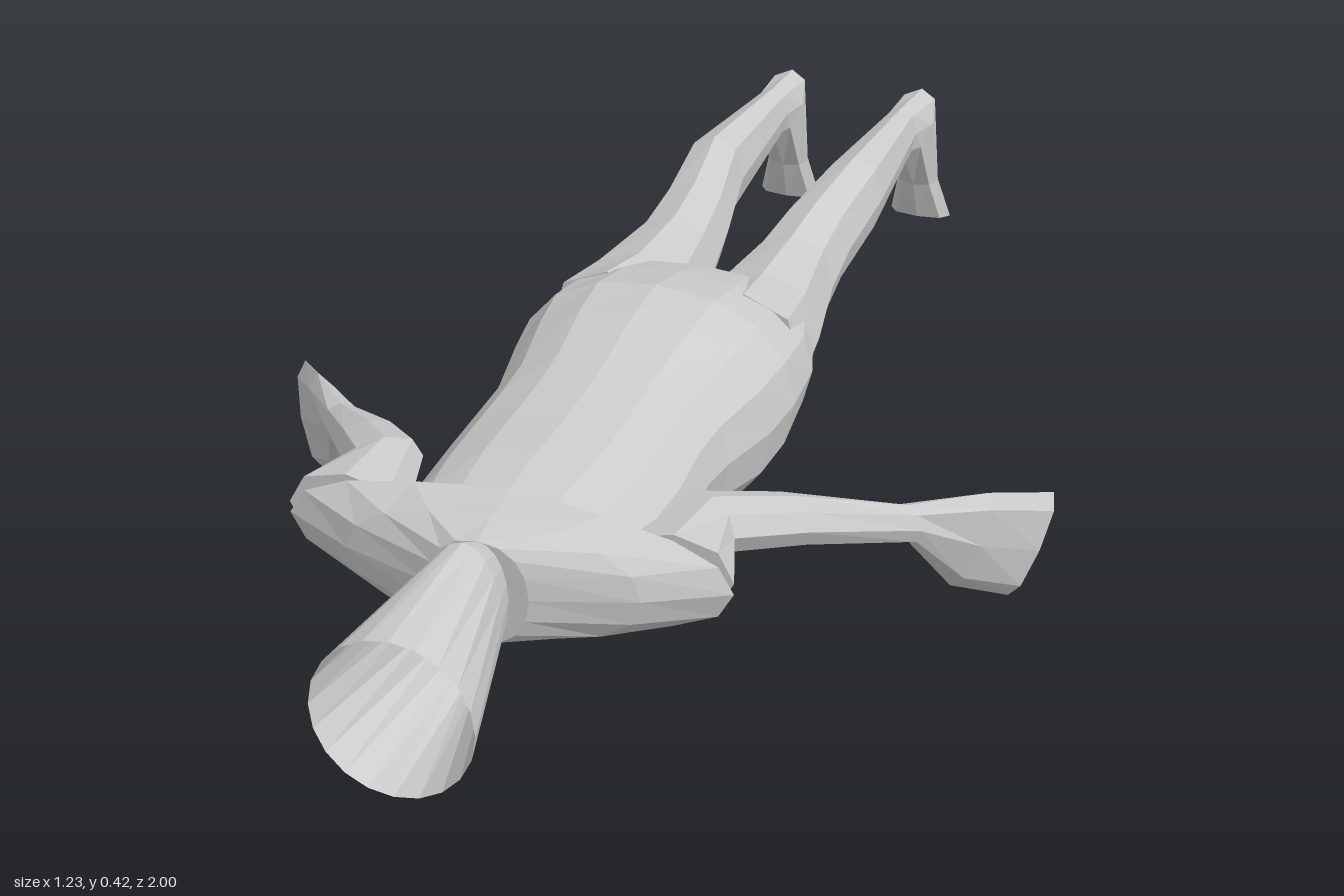
import * as THREE from 'three';

const material = new THREE.MeshStandardMaterial({ color: 0xcccccc, flatShading: true, side: THREE.DoubleSide });

// Skin between rings; each ring is { c: centre, u, v: half axes }
function loft(name, rings, sides, { power = 1, caps = true } = {}) {
  const pos = [], index = [];
  const shape = t => Math.sign(t) * Math.pow(Math.abs(t), power);
  for (const { c, u, v } of rings) {
    for (let j = 0; j < sides; j++) {
      const a = (j / sides) * Math.PI * 2;
      const p = shape(Math.cos(a)), q = shape(Math.sin(a));
      for (let k = 0; k < 3; k++) pos.push(c[k] + u[k] * p + v[k] * q);
    }
  }
  const last = (rings.length - 1) * sides, start = rings.length * sides;
  if (caps) pos.push(...rings[0].c, ...rings[rings.length - 1].c);
  for (let j = 0; j < sides; j++) {
    const n = (j + 1) % sides;
    for (let i = 0; i < last; i += sides) {
      index.push(i + j, i + sides + j, i + n, i + n, i + sides + j, i + sides + n);
    }
    if (caps) index.push(start, j, n, start + 1, last + n, last + j);
  }
  const geometry = new THREE.BufferGeometry();
  geometry.setAttribute('position', new THREE.Float32BufferAttribute(pos, 3));
  geometry.setIndex(index);
  geometry.computeVertexNormals();
  const mesh = new THREE.Mesh(geometry, material);
  mesh.name = name;
  return mesh;
}

// Upright ring facing along z
const ring = (z, x, rx, top, bottom) => ({
  c: [x, (top + bottom) / 2, z], u: [rx, 0, 0], v: [0, (top - bottom) / 2, 0],
});

// Reflect rings across x while keeping their winding
const mirror = (rings, s) => s > 0 ? rings : rings.map(({ c, u, v }) => ({
  c: [-c[0], c[1], c[2]], u: [u[0], -u[1], -u[2]], v: [-v[0], v[1], v[2]],
}));

export function createModel() {
  const model = new THREE.Group();
  model.name = 'lyingFigure';

  // Hollow head, open at the crown
  model.add(loft('head', [
    ring(1, 0, 0.12, 0.37, 0.13),
    ring(0.75, 0, 0.057, 0.385, 0.16),
    ring(0.7, 0, 0.045, 0.36, 0.19),
    ring(0.66, 0, 0.07, 0.35, 0.2),
  ], 20, { caps: false }));

  // Torso: z, half width, back height, belly height
  const torso = [
    [0.7, 0.075, 0.36, 0.2], [0.65, 0.22, 0.37, 0.19], [0.59, 0.333, 0.375, 0.19],
    [0.58, 0.17, 0.38, 0.17], [0.48, 0.187, 0.385, 0.115], [0.38, 0.19, 0.385, 0.12],
    [0.28, 0.185, 0.39, 0.14], [0.2, 0.187, 0.4, 0.115], [0.08, 0.21, 0.42, 0.085],
    [0, 0.22, 0.424, 0.1], [-0.1, 0.215, 0.4, 0.14], [-0.19, 0.185, 0.37, 0.19],
  ].map(([z, rx, top, bottom]) => ring(z, 0, rx, top, bottom));
  model.add(loft('torso', torso, 16, { power: 0.9 }));

  // Leg with the foot bent down at the ankle
  const leg = [
    ring(-0.08, 0.11, 0.095, 0.39, 0.15),
    ring(-0.2, 0.1, 0.092, 0.37, 0.175),
    ring(-0.35, 0.098, 0.066, 0.367, 0.205),
    ring(-0.45, 0.102, 0.058, 0.378, 0.235),
    ring(-0.59, 0.118, 0.048, 0.397, 0.262),
    ring(-0.86, 0.113, 0.027, 0.37, 0.285),
    { c: [0.115, 0.322, -0.92], u: [0.036, 0, 0], v: [0, 0.038, -0.05] },
    { c: [0.116, 0.2, -0.96], u: [0.035, 0, 0], v: [0, 0, -0.029] },
    { c: [0.117, 0.13, -0.978], u: [0.052, 0, 0], v: [0, 0, -0.022] },
  ];

  // Arm from the shoulder to the flat hand
  const arm = [
    { c: [0.245, 0.3, 0.59], u: [0.088, 0, 0], v: [0, 0.06, 0] },
    { c: [0.25, 0.305, 0.445], u: [0.045, 0, 0.035], v: [0, 0.04, 0] },
    { c: [0.33, 0.265, 0.33], u: [0.038, 0, 0.03], v: [0, 0.036, 0] },
    { c: [0.45, 0.19, 0.16], u: [0.023, 0, 0.016], v: [0, 0.03, 0] },
    { c: [0.515, 0.122, 0.06], u: [0.022, 0, 0.014], v: [0.024, 0.078, -0.01] },
    { c: [0.585, 0.08, -0.03], u: [0.018, 0, 0.015], v: [0.025, 0.08, -0.025] },
  ];

  for (const [side, s] of [['left', 1], ['right', -1]]) {
    model.add(loft(side + 'Leg', mirror(leg, s), 8, { power: 0.85 }));
    model.add(loft(side + 'Arm', mirror(arm, s), 8, { power: 0.9 }));
  }
  return model;
}
